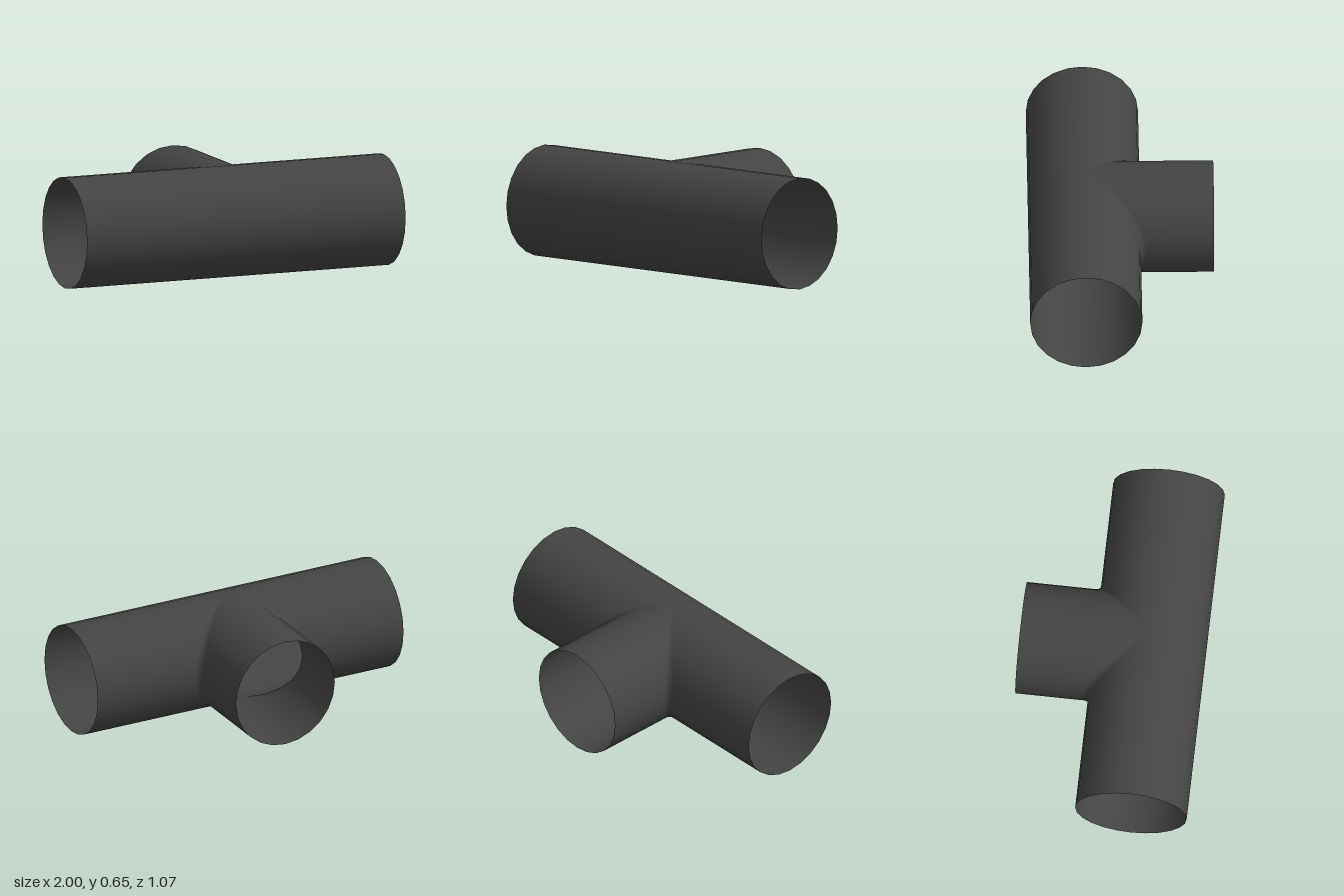
import * as THREE from 'three';

const R = 0.323;        // pipe radius
const AXIS_Z = 0.21;    // z of the main run's axis
const BACK_Z = -0.535;  // open end of the branch
const FILLET = 0.036;   // rounding in the crotch
const SIDES = 12;       // facets per half pipe
const ARC = 5;          // steps across the fillet

// One side of the tee's back: the run's rear wall turning into the branch wall.
function elbowGeometry(side) {
  const positions = [], normals = [], index = [];
  const cols = ARC + 3;
  for (let i = 0; i <= SIDES; i++) {
    const t = -Math.PI / 2 + (Math.PI * i) / SIDES;
    const c = Math.max(0, Math.cos(t)), s = Math.sin(t);
    const h = R * c, f = FILLET * c;
    const add = (x, z, a) => {
      positions.push(side * x, R + R * s, z);
      normals.push(side * c * Math.sin(a), s, -c * Math.cos(a));
    };
    add(1, AXIS_Z - h, 0);
    for (let k = 0; k <= ARC; k++) {
      const a = (Math.PI / 2) * (k / ARC);
      add(h + f - f * Math.sin(a), AXIS_Z - h - f + f * Math.cos(a), a);
    }
    add(h, BACK_Z, Math.PI / 2);
  }
  for (let i = 0; i < SIDES; i++) {
    for (let j = 0; j < cols - 1; j++) {
      const a = i * cols + j, b = a + 1, d = a + cols, e = d + 1;
      if (side > 0) index.push(a, b, d, b, e, d);
      else index.push(a, d, b, b, d, e);
    }
  }
  const geometry = new THREE.BufferGeometry();
  geometry.setAttribute('position', new THREE.Float32BufferAttribute(positions, 3));
  geometry.setAttribute('normal', new THREE.Float32BufferAttribute(normals, 3));
  geometry.setIndex(index);
  return geometry;
}

export function createModel() {
  const group = new THREE.Group();
  group.name = 'pipeTee';
  const material = new THREE.MeshStandardMaterial({ color: 0x444444, side: THREE.DoubleSide });
  const add = (name, geometry) => {
    const mesh = new THREE.Mesh(geometry, material);
    mesh.name = name;
    group.add(mesh);
  };

  // Front half of the straight run, open at both ends
  const front = new THREE.CylinderGeometry(R, R, 2, SIDES, 1, true, -Math.PI / 2, Math.PI);
  front.rotateZ(Math.PI / 2).translate(0, R, AXIS_Z);
  add('runFront', front);

  // Mirrored halves of the rear wall and branch
  add('leftElbow', elbowGeometry(1));
  add('rightElbow', elbowGeometry(-1));
  return group;
}
